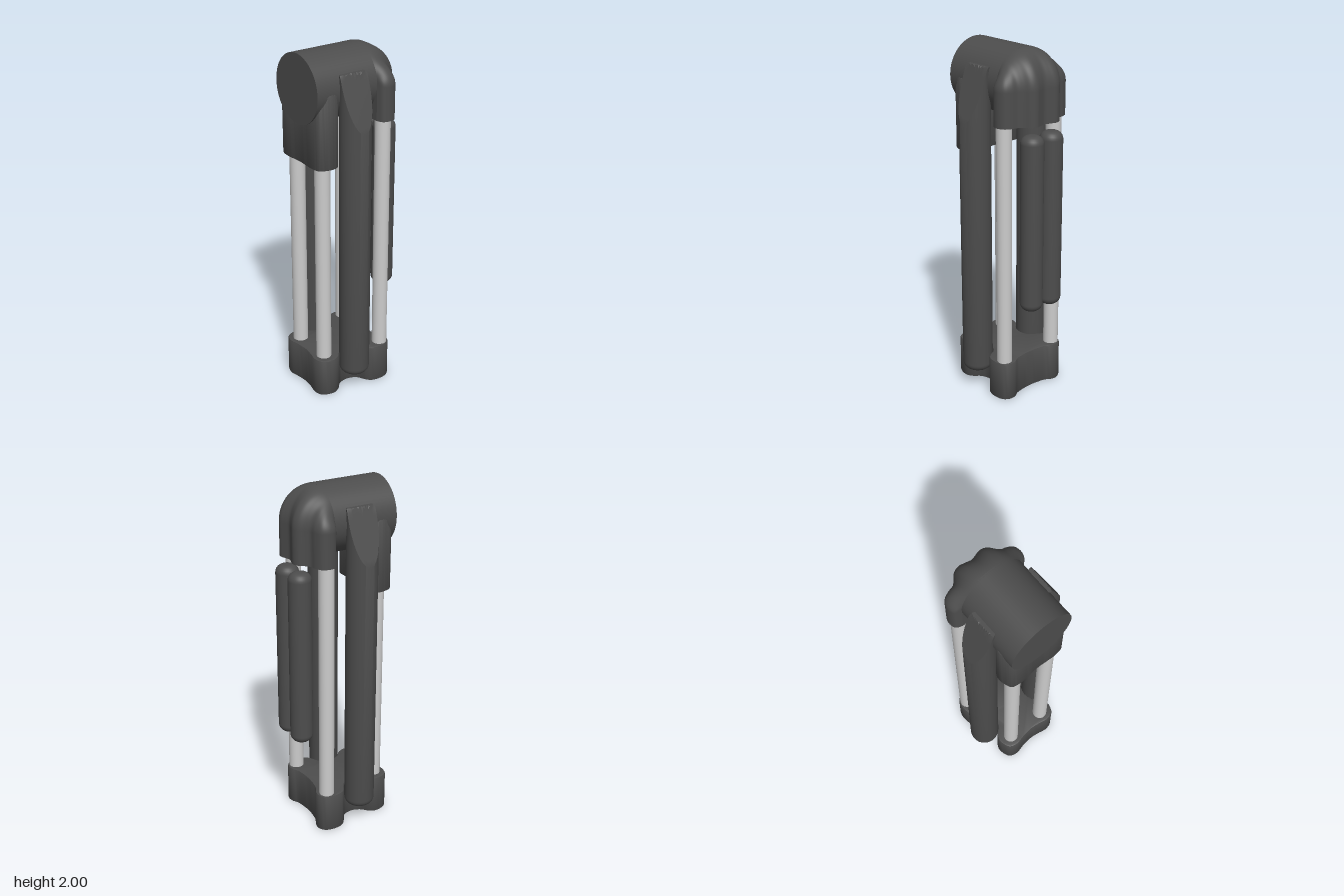
import * as THREE from 'three';
import { toCreasedNormals } from 'three/addons/utils/BufferGeometryUtils.js';

const dark = new THREE.MeshStandardMaterial({ color: 0x4d4d4d });
const light = new THREE.MeshStandardMaterial({ color: 0xcccccc });

function add(group, name, geometry, material = dark) {
  const mesh = new THREE.Mesh(geometry, material);
  mesh.name = name;
  group.add(mesh);
  return mesh;
}

// Closed upright column with softly rounded ends
function roundedColumn(r, y0, y1, fillet, roundTop = true) {
  const pts = [new THREE.Vector2(0, y0)];
  for (let i = 0; i <= 6; i++) {
    const a = (i / 6) * Math.PI / 2;
    pts.push(new THREE.Vector2(r - fillet + fillet * Math.sin(a), y0 + fillet * (1 - Math.cos(a))));
  }
  if (roundTop) {
    for (let i = 0; i <= 6; i++) {
      const a = (i / 6) * Math.PI / 2;
      pts.push(new THREE.Vector2(r - fillet + fillet * Math.cos(a), y1 - fillet * (1 - Math.sin(a))));
    }
  } else {
    for (let i = 0; i < 8; i++) pts.push(new THREE.Vector2(r * (1 - i / 8), y1));
  }
  pts.push(new THREE.Vector2(0, y1));
  return new THREE.LatheGeometry(pts, 40);
}

// Mirror half an outline, given as [x, z] from the middle of the front to the middle of the back
function mirrored(half) {
  const other = half.slice(1, -1).reverse().map(([x, z]) => [-x, z]);
  return half.concat(other);
}

// Upright block with a smooth plan outline
function planBlock(half, y0, y1, bevel) {
  const pts = mirrored(half).map(([x, z]) => new THREE.Vector3(x, -z, 0));
  const curve = new THREE.CatmullRomCurve3(pts, true, 'centripetal');
  const shape = new THREE.Shape(curve.getPoints(112).slice(0, -1).map(p => new THREE.Vector2(p.x, p.y)));
  const geo = new THREE.ExtrudeGeometry(shape, {
    depth: y1 - y0 - 2 * bevel, bevelEnabled: true, bevelThickness: bevel,
    bevelSize: bevel, bevelOffset: -bevel, bevelSegments: 2,
  });
  geo.rotateX(-Math.PI / 2).translate(0, y0 + bevel, 0);
  return toCreasedNormals(geo, 0.6);
}

// Lobed back of the head: vertical below, bending forward into the round barrel
function headBack(group) {
  const z0 = -0.085, yLow = 1.61, yBend = 1.8, cy = 1.81, r = 0.19, N = 96, M = 16;
  const half = [[0.19, z0], [0.225, -0.1], [0.237, -0.14], [0.222, -0.18], [0.185, -0.2],
    [0.15, -0.207], [0.125, -0.228], [0.1, -0.257], [0.07, -0.268], [0.035, -0.259]];
  const all = [...half, [0, -0.25], ...half.slice().reverse().map(([x, z]) => [-x, z])];
  const curve = new THREE.CatmullRomCurve3(all.map(([x, z]) => new THREE.Vector3(x, 0, z)), false, 'centripetal');
  const plan = curve.getPoints(N);
  const pos = [], idx = [];
  for (let j = -1; j <= M; j++) {
    const a = (Math.max(j, 0) / M) * Math.PI / 2, c = Math.cos(a), s = Math.sin(a);
    plan.forEach((p, i) => {
      const th = (i / N) * Math.PI;
      const cx = r * Math.cos(th), top = cy + r * Math.sin(th);
      pos.push(cx + (p.x - cx) * c, j < 0 ? yLow : yBend + (top - yBend) * s, z0 + (p.z - z0) * c);
    });
  }
  const W = N + 1;
  for (let j = 0; j <= M; j++) {
    for (let i = 0; i < N; i++) {
      const a = j * W + i;
      idx.push(a, a + 1, a + W, a + 1, a + W + 1, a + W);
    }
  }
  const geo = new THREE.BufferGeometry();
  geo.setAttribute('position', new THREE.Float32BufferAttribute(pos, 3));
  geo.setIndex(idx);
  geo.computeVertexNormals();
  add(group, 'headBackShell', geo);

  // Underside and front wall close the shell
  const under = new THREE.ShapeGeometry(new THREE.Shape(plan.map(p => new THREE.Vector2(p.x, p.z))));
  add(group, 'headBackUnderside', under.rotateX(Math.PI / 2).translate(0, yLow, 0));
  const wall = new THREE.PlaneGeometry(2 * r, cy - yLow);
  add(group, 'headBackWall', wall.translate(0, (cy + yLow) / 2, z0));
}

export function createModel() {
  const model = new THREE.Group();
  model.name = 'columnStand';

  // Base, with hollows that hug the columns
  add(model, 'base', planBlock([
    [0, 0.268], [0.06, 0.274], [0.125, 0.286], [0.172, 0.27], [0.19, 0.235], [0.195, 0.195], [0.178, 0.157],
    [0.14, 0.12], [0.124, 0.065], [0.145, 0.005], [0.19, -0.022], [0.222, -0.05], [0.234, -0.115],
    [0.22, -0.165], [0.185, -0.188], [0.145, -0.185], [0.11, -0.165], [0.06, -0.155], [0, -0.15],
  ], 0, 0.23, 0.008));

  // Head: barrel, front block and lobed back
  const head = new THREE.Group();
  head.name = 'head';
  model.add(head);
  const barrel = new THREE.CylinderGeometry(0.19, 0.19, 0.385, 64);
  add(head, 'headBarrel', toCreasedNormals(barrel.rotateX(Math.PI / 2).translate(0, 1.81, 0.0985), 0.6));
  add(head, 'headFrontBlock', planBlock([
    [0, 0.278], [0.125, 0.284], [0.17, 0.272], [0.188, 0.235], [0.194, 0.195], [0.178, 0.158],
    [0.12, 0.154], [0, 0.154],
  ], 1.4, 1.81, 0.008));
  headBack(head);

  for (const [side, s] of [['left', 1], ['right', -1]]) {
    // Light rods
    for (const [name, x, z, top] of [['FrontRod', 0.118, 0.217, 1.45], ['BackRod', 0.182, -0.133, 1.65]]) {
      const rod = new THREE.CylinderGeometry(0.043, 0.043, top - 0.2, 32);
      add(model, side + name, rod, light).position.set(s * x, (top + 0.2) / 2, z);
    }

    // Thick side column, its top cut on a slant against the head
    const column = roundedColumn(0.086, 0.12, 1.95, 0.045, false);
    column.translate(s * 0.209, 0, 0.068);
    const p = column.attributes.position;
    for (let i = 0; i < p.count; i++) {
      if (p.getY(i) > 1) p.setY(i, Math.min(1.9, 1.6 + (0.295 - s * p.getX(i)) * 2.86));
    }
    add(model, side + 'SideColumn', toCreasedNormals(column, 0.5));

    // Short hanging column at the back
    const hanging = add(model, side + 'BackColumn', roundedColumn(0.064, 0.55, 1.56, 0.045));
    hanging.position.set(s * 0.07, 0, -0.23);
  }
  return model;
}
